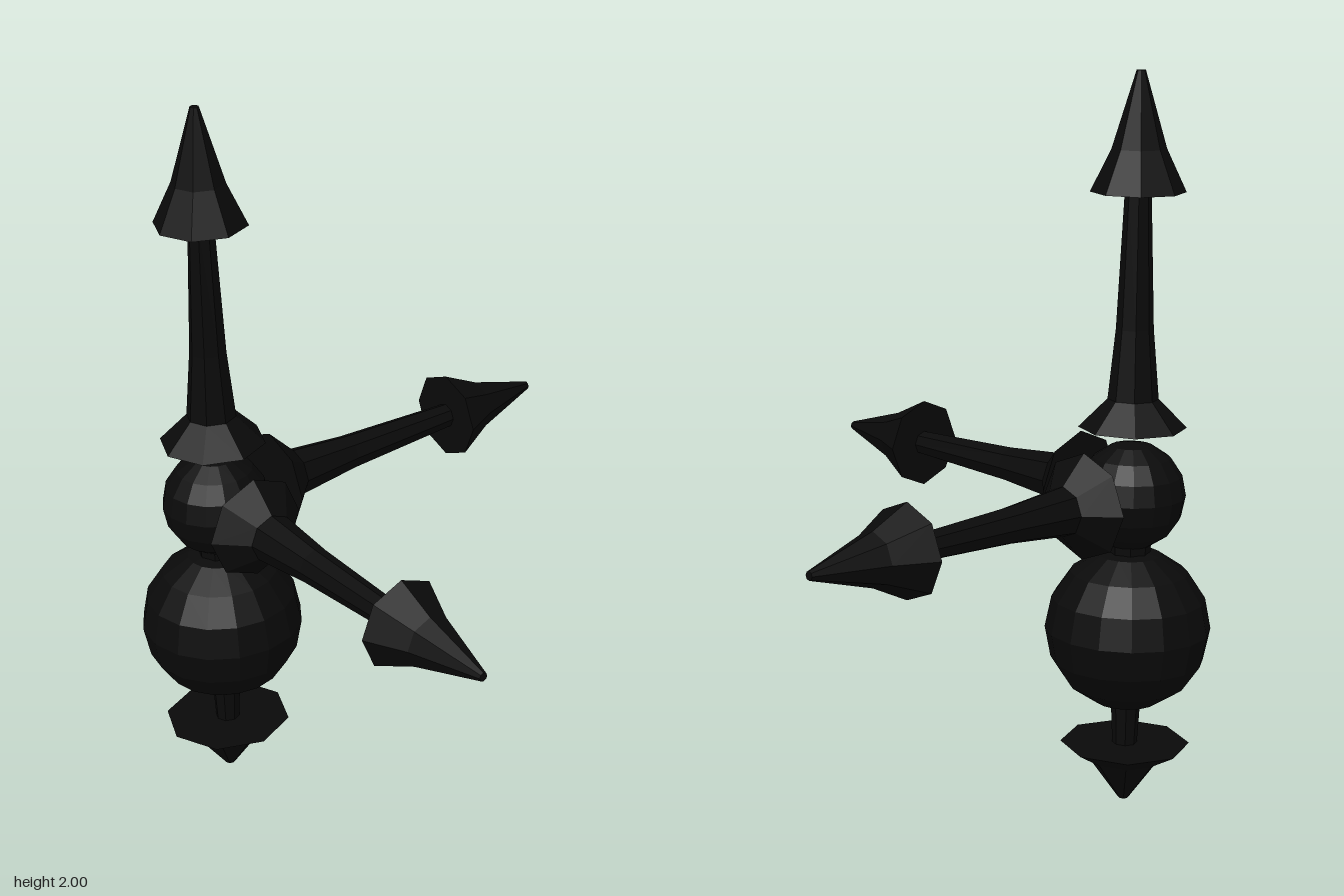
import * as THREE from 'three';

const SIDES = 8;

// Faceted solid turned from [radius, height] pairs, listed bottom to top
function turned(name, profile, material) {
  const points = profile.map(([r, h]) => new THREE.Vector2(r, h));
  const mesh = new THREE.Mesh(new THREE.LatheGeometry(points, SIDES), material);
  mesh.name = name;
  return mesh;
}

function ball(name, radius, y, material) {
  const mesh = new THREE.Mesh(new THREE.SphereGeometry(radius, 16, 8), material);
  mesh.name = name;
  mesh.position.y = y;
  return mesh;
}

export function createModel() {
  const model = new THREE.Group();
  model.name = 'axisMarker';
  const black = new THREE.MeshStandardMaterial({ color: 0x0a0a0a, flatShading: true });

  // Everything hangs on one vertical line in the back right corner
  const post = new THREE.Group();
  post.name = 'post';
  post.position.set(-0.455, 0, -0.455);
  model.add(post);

  const hubY = 0.868;
  post.add(ball('hubBall', 0.148, hubY, black));
  post.add(ball('weightBall', 0.2255, 0.495, black));

  // Short downward pointer running through the large ball
  post.add(turned('groundPointer', [
    [0, 0], [0.014, 0], [0.1, 0.117], [0.177, 0.163],
    [0.034, 0.163], [0.04, 0.28], [0.056, 0.7], [0.06, 0.76], [0, 0.76],
  ], black));

  // Three equal arrows: flared foot, tapering shaft, two-stage head
  const shaft = [[0, 0.187], [0.145, 0.187], [0.068, 0.265], [0.05, 0.455], [0.035, 0.82]];
  const head = [[0, 0.817], [0.126, 0.817], [0.072, 0.93], [0.012, 1.132], [0, 1.132]];
  const directions = {
    upArrow: [0, 0, 0],
    leftArrow: [0, 0, -Math.PI / 2],
    frontArrow: [Math.PI / 2, 0, 0],
  };
  for (const [name, rotation] of Object.entries(directions)) {
    const arrow = new THREE.Group();
    arrow.name = name;
    arrow.add(turned('shaft', shaft, black), turned('head', head, black));
    arrow.position.y = hubY;
    arrow.rotation.set(...rotation);
    post.add(arrow);
  }

  return model;
}
